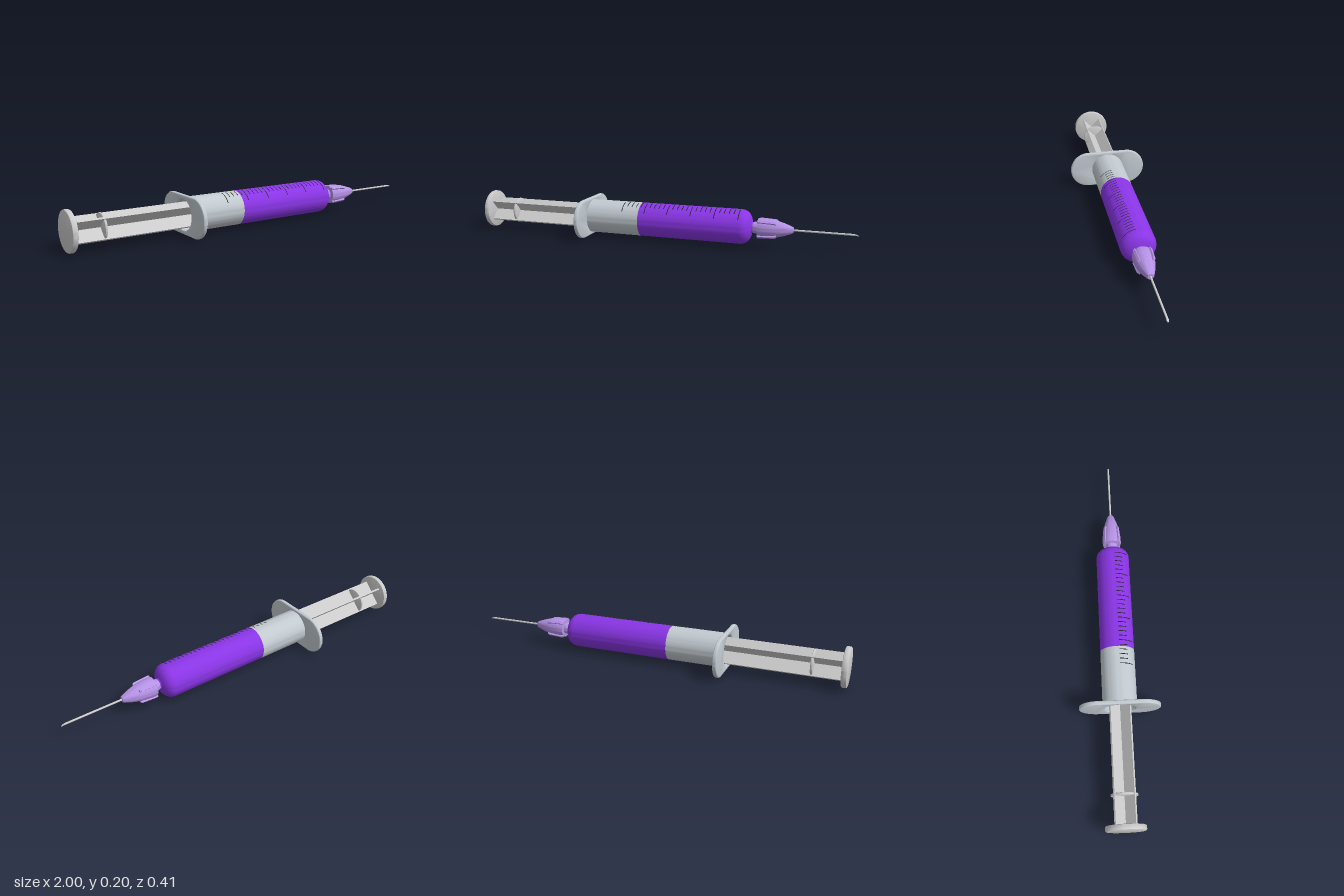
import * as THREE from 'three';
import { toCreasedNormals } from 'three/addons/utils/BufferGeometryUtils.js';

const AXIS = 0.1; // height of the long axis
const mat = (color) => new THREE.MeshStandardMaterial({ color });

export function createModel() {
  const root = new THREE.Group();
  const body = new THREE.Group();
  body.name = 'syringe';
  body.position.y = AXIS;
  root.add(body);

  const grey = mat(0xcccccc);
  const clear = mat(0xc2cad0);
  const purple = mat(0x8a35e6);
  const lilac = mat(0xb592e6);
  const black = mat(0x222222);

  const add = (name, geometry, material, parent = body) => {
    const mesh = new THREE.Mesh(geometry, material);
    mesh.name = name;
    parent.add(mesh);
    return mesh;
  };
  // Turned part along x, from [x, radius] pairs
  const turned = (name, profile, material, segments = 64) => {
    const points = profile.map(([x, r]) => new THREE.Vector2(r, x));
    const geometry = new THREE.LatheGeometry(points, segments);
    geometry.rotateZ(-Math.PI / 2);
    return add(name, toCreasedNormals(geometry, 0.6), material);
  };
  // Disc with rounded rim
  const disc = (name, x0, x1, r, e, material) => turned(name, [
    [x0, 0], [x0, r - e], [x0 + e * 0.3, r - e * 0.3], [x0 + e, r],
    [x1 - e, r], [x1 - e * 0.3, r - e * 0.3], [x1, r - e], [x1, 0],
  ], material);

  // Plunger: thumb rest, crossed blades, collar and stopper
  disc('thumbRest', -1, -0.972, 0.1, 0.007, grey);
  for (const side of [-1, 1]) {
    const blade = add('plungerBlade', new THREE.BoxGeometry(0.86, 0.145, 0.01), grey);
    blade.position.x = -0.55;
    blade.rotation.x = side * Math.PI / 4;
  }
  disc('plungerCollar', -0.836, -0.824, 0.067, 0.003, grey);
  disc('stopper', -0.14, -0.1, 0.077, 0.004, grey);

  // Finger flange: rounded plate with a hole for the plunger
  const bevel = 0.008;
  const r = 0.1 - bevel;
  const plate = new THREE.Shape();
  plate.absarc(0.107, 0, r, -Math.PI / 2, Math.PI / 2, false);
  plate.absarc(-0.107, 0, r, Math.PI / 2, Math.PI * 1.5, false);
  plate.closePath();
  plate.holes.push(new THREE.Path().absarc(0, 0, 0.078 + bevel, 0, Math.PI * 2, true));
  const flange = new THREE.ExtrudeGeometry(plate, {
    depth: 0.006, bevelThickness: bevel, bevelSize: bevel, bevelSegments: 4, curveSegments: 32,
  });
  flange.translate(0, 0, -0.003).rotateY(Math.PI / 2);
  add('fingerFlange', toCreasedNormals(flange, 0.7), clear).position.x = -0.394;

  // Barrel: hollow empty end, then the filled end with a rounded shoulder
  turned('barrel', [
    [-0.1, 0.078], [-0.4, 0.078], [-0.4, 0.0875], [-0.1, 0.0875],
  ], clear);
  turned('filledBarrel', [
    [-0.1, 0], [-0.1, 0.0875], [0.43, 0.0875], [0.444, 0.085], [0.456, 0.079],
    [0.466, 0.07], [0.474, 0.058], [0.479, 0.044], [0.483, 0.03], [0.488, 0.026],
    [0.52, 0.026], [0.52, 0],
  ], purple);

  // Graduation marks curve around the upper front of the barrel
  const marks = new THREE.Group();
  marks.name = 'graduationMarks';
  body.add(marks);
  for (let i = 0; i <= 25; i++) {
    const start = 0.12;
    const end = i % 5 === 0 ? 1.0 : 0.62;
    const arc = new THREE.CylinderGeometry(
      0.0882, 0.0882, 0.004, 12, 1, true, start - Math.PI / 2, end - start);
    arc.rotateZ(-Math.PI / 2);
    add('mark', arc, black, marks).position.x = -0.19 + i * 0.0246;
  }

  // Needle hub with four gripping ribs
  turned('needleHub', [
    [0.488, 0], [0.488, 0.026], [0.494, 0.029], [0.512, 0.029], [0.514, 0.048],
    [0.525, 0.05], [0.56, 0.0485], [0.6, 0.044], [0.64, 0.033], [0.68, 0.019],
    [0.688, 0.014], [0.688, 0],
  ], lilac, 48);
  for (let i = 0; i < 4; i++) {
    const rib = new THREE.Group();
    rib.name = 'hubRib';
    rib.rotation.x = Math.PI / 4 + i * Math.PI / 2;
    const side = new THREE.Shape([
      [0.514, 0.04], [0.61, 0.036], [0.606, 0.051], [0.598, 0.054], [0.52, 0.058], [0.514, 0.055],
    ].map(([x, y]) => new THREE.Vector2(x, y)));
    const bar = new THREE.ExtrudeGeometry(side, { depth: 0.012, bevelEnabled: false });
    bar.translate(0, 0, -0.006);
    add('rib', bar, lilac, rib);
    body.add(rib);
  }

  // Needle with a slanted tip
  const needle = new THREE.CylinderGeometry(0.005, 0.005, 0.33, 16, 1);
  needle.rotateZ(-Math.PI / 2).translate(0.835, 0, 0);
  const p = needle.attributes.position;
  for (let i = 0; i < p.count; i++) {
    if (p.getX(i) > 0.9) p.setX(i, 0.988 - p.getY(i) * 2.4);
  }
  add('needle', toCreasedNormals(needle, 0.6), grey);

  return root;
}
